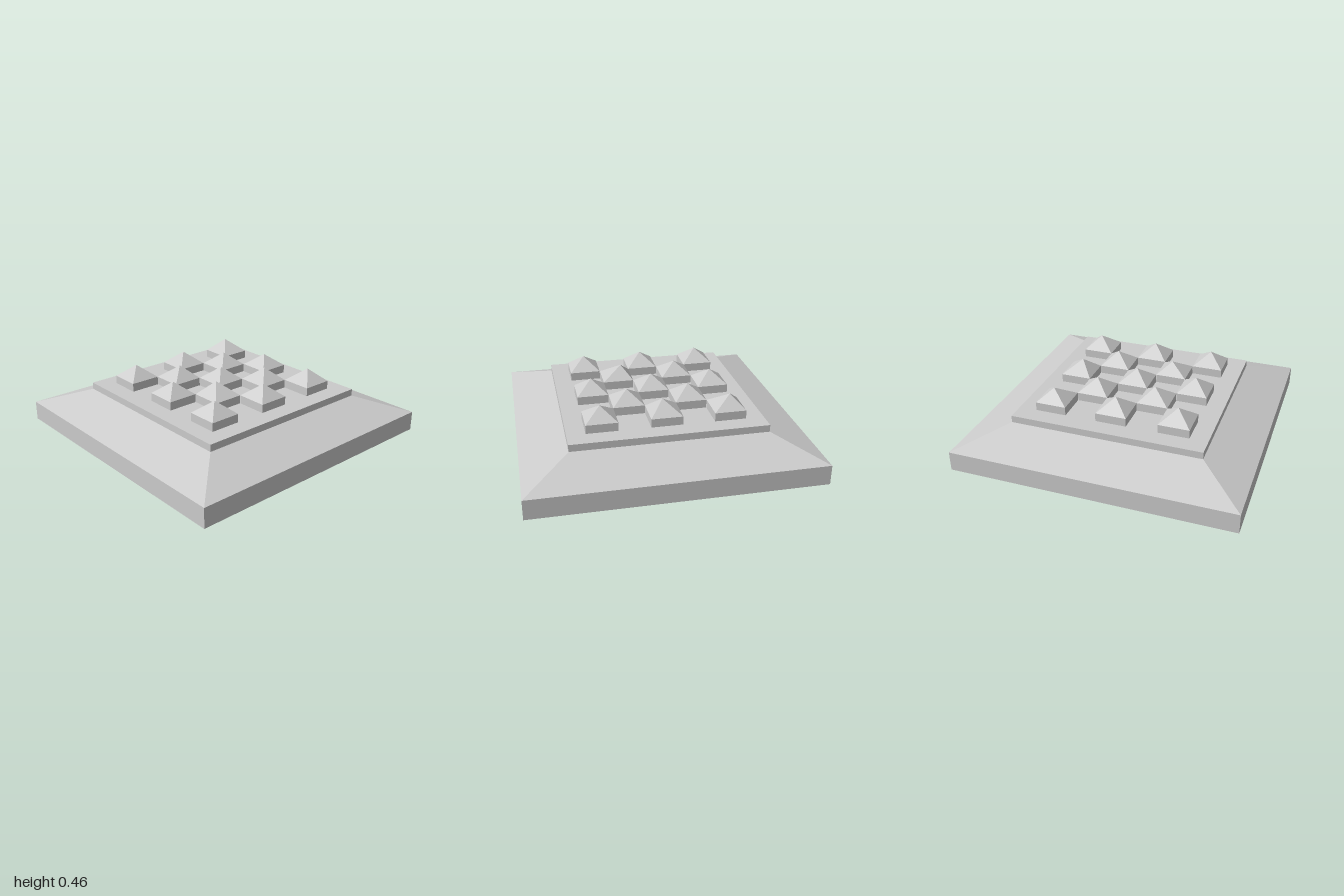
import * as THREE from 'three';

const material = new THREE.MeshStandardMaterial({ color: 0xcccccc, flatShading: true });

// Square block from y0 to y1 that tapers from half-width `bottom` to half-width `top`;
// the top may be shifted sideways by (dx, dz)
function taperedBlock(name, bottom, top, y0, y1, dx = 0, dz = 0) {
  const h = y1 - y0;
  let geometry = new THREE.CylinderGeometry(top * Math.SQRT2, bottom * Math.SQRT2, h, 4);
  geometry.rotateY(Math.PI / 4);
  geometry.translate(0, h / 2, 0);
  const p = geometry.attributes.position;
  for (let i = 0; i < p.count; i++) {
    const t = p.getY(i) / h;
    p.setXYZ(i, p.getX(i) + dx * t, p.getY(i), p.getZ(i) + dz * t);
  }
  geometry = geometry.toNonIndexed();
  geometry.computeVertexNormals();
  const mesh = new THREE.Mesh(geometry, material);
  mesh.name = name;
  mesh.position.y = y0;
  return mesh;
}

export function createModel() {
  const model = new THREE.Group();
  model.name = 'studdedPlate';

  // Stepped base
  model.add(
    taperedBlock('baseSlab', 1, 1, 0, 0.14),
    taperedBlock('slopedRim', 1, 0.68, 0.14, 0.26),
    taperedBlock('raisedPanel', 0.68, 0.68, 0.26, 0.31),
  );

  // Hand-cut irregularity: a few peaks lean off centre, keyed by column,row
  const lean = {
    '-2,-2': [-0.02, -0.007],
    '0,-2': [0.01, 0.01],
    '2,-2': [0, -0.01],
    '2,2': [0, 0],
    '1,-1': [0, -0.007],
    '-1,1': [0, -0.012],
    '1,1': [-0.032, -0.01],
  };

  // Pyramid studs on alternate cells of a 5 x 5 grid
  for (let row = -2; row <= 2; row++) {
    for (let col = -2; col <= 2; col++) {
      if ((row + col) % 2 !== 0 || (row % 2 === 0) !== (col % 2 === 0)) continue;
      const [dx, dz] = lean[`${col},${row}`] ?? [0, 0];
      const stud = new THREE.Group();
      stud.name = 'stud';
      stud.add(
        taperedBlock('studBlock', 0.11, 0.11, 0.31, 0.37),
        taperedBlock('studPeak', 0.11, 0, 0.37, 0.46, dx, dz),
      );
      stud.position.set(col * 0.221, 0, row * 0.221);
      model.add(stud);
    }
  }
  return model;
}
